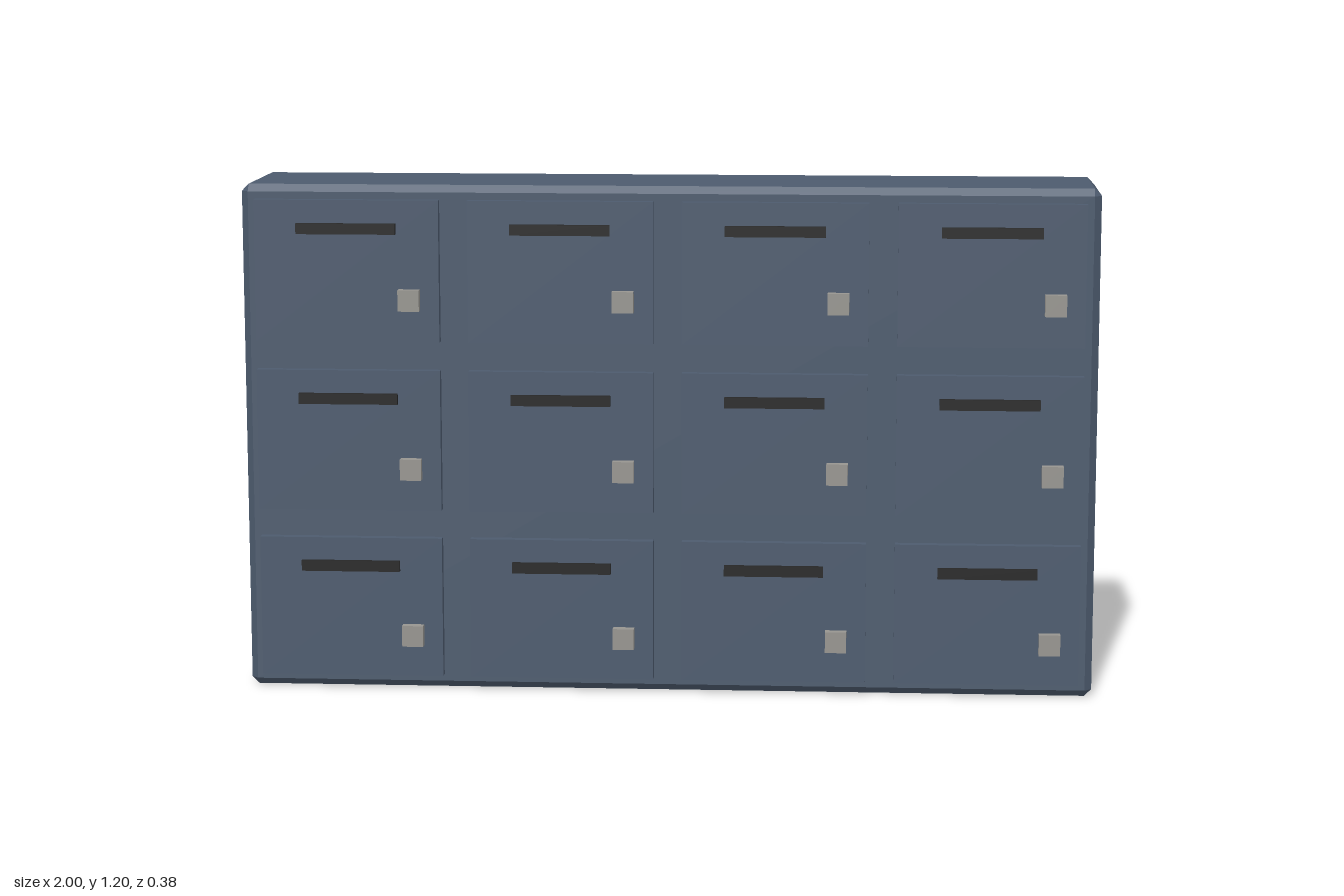
import * as THREE from 'three';
import { ConvexGeometry } from 'three/addons/geometries/ConvexGeometry.js';

// Box with flat chamfers on every edge, centred on the origin
function chamferedBox(w, h, d, c) {
  const points = [];
  for (const x of [-1, 1]) for (const y of [-1, 1]) for (const z of [-1, 1]) {
    for (let face = 0; face < 3; face++) {
      const inset = [c, c, c];
      inset[face] = 0;
      points.push(new THREE.Vector3(
        x * (w / 2 - inset[0]), y * (h / 2 - inset[1]), z * (d / 2 - inset[2])));
    }
  }
  return new ConvexGeometry(points);
}

export function createModel() {
  const paint = new THREE.MeshStandardMaterial({ name: 'slate blue paint', color: 0x4d5b6e });
  const dark = new THREE.MeshStandardMaterial({ name: 'dark slot', color: 0x262626 });
  const metal = new THREE.MeshStandardMaterial({ name: 'lock metal', color: 0x979590 });

  const model = new THREE.Group();
  model.name = 'mailboxUnit';

  function add(parent, name, geometry, material, x, y, z) {
    const mesh = new THREE.Mesh(geometry, material);
    mesh.name = name;
    mesh.position.set(x, y, z);
    parent.add(mesh);
  }

  // Cabinet
  const front = 0.145, back = -0.188;
  add(model, 'cabinet', chamferedBox(2, 1.2, front - back, 0.0167), paint, 0, 0.6, (front + back) / 2);

  // Doors, each with a letter slot and a lock
  const doorGeo = new THREE.BoxGeometry(0.433, 0.333, 0.04);
  const slotGeo = new THREE.BoxGeometry(0.233, 0.025, 0.022);
  const lockGeo = new THREE.BoxGeometry(0.05, 0.05, 0.033);
  for (let row = 0; row < 3; row++) {
    for (let col = 0; col < 4; col++) {
      const box = new THREE.Group();
      box.name = `compartment${row + 1}${col + 1}`;
      box.position.set(-0.75 + col * 0.5, 0.2 + row * 0.4, 0);
      add(box, 'door', doorGeo, paint, 0, 0, 0.148);
      add(box, 'letterSlot', slotGeo, dark, 0, 0.1, 0.169);
      add(box, 'lock', lockGeo, metal, 0.147, -0.066, 0.1735);
      model.add(box);
    }
  }
  return model;
}
